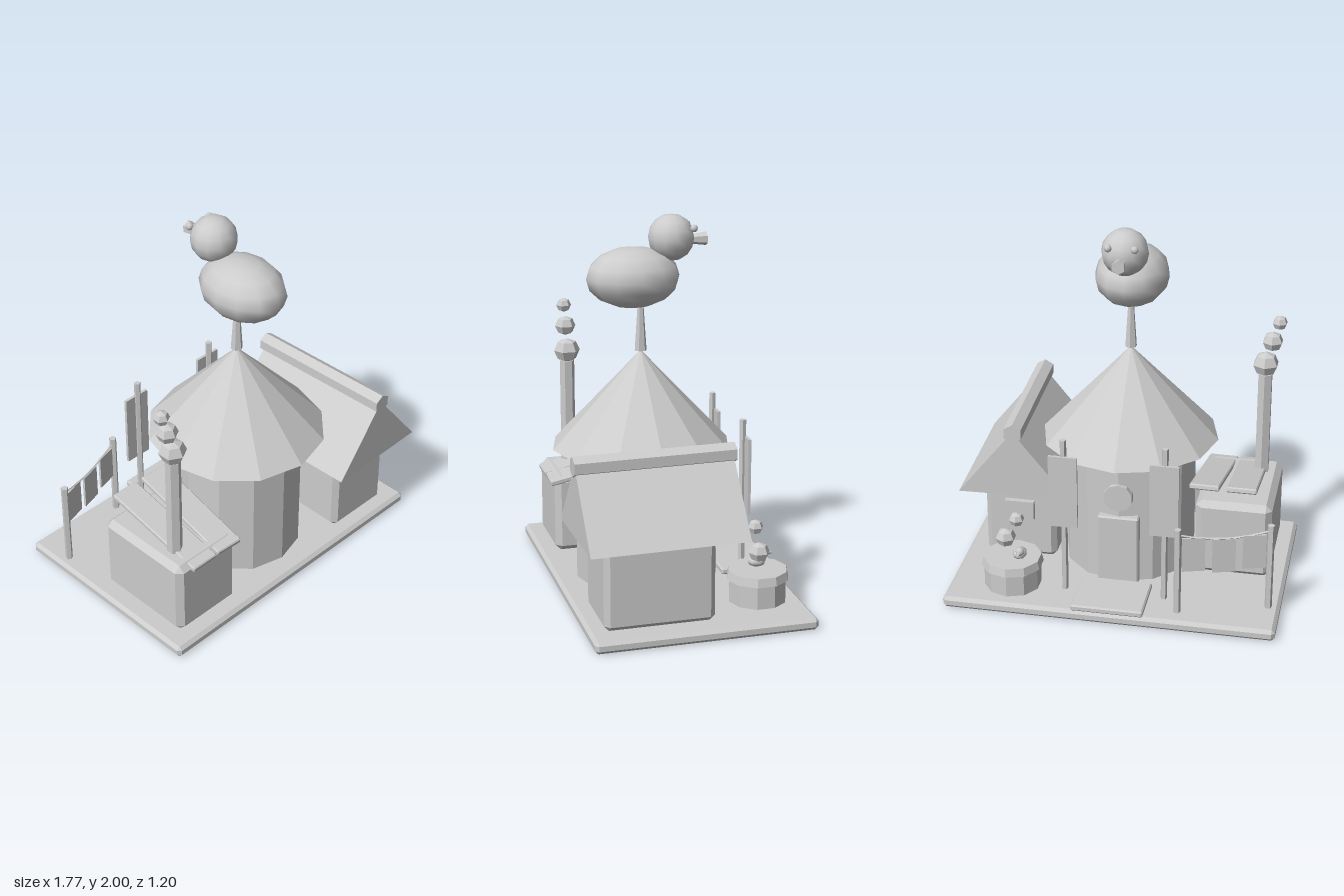
import * as THREE from 'three';
import { ConvexGeometry } from 'three/addons/geometries/ConvexGeometry.js';

export function createModel() {
  const root = new THREE.Group();
  const clay = new THREE.MeshStandardMaterial({ color: 0xcccccc });
  clay.name = 'plain grey';

  // Adds a mesh; faceted parts get flat normals
  function add(name, geometry, pos, rot = [0, 0, 0], parent = root, smooth = false) {
    let g = geometry;
    if (!smooth) {
      if (g.index) g = g.toNonIndexed();
      g.computeVertexNormals();
    }
    const mesh = new THREE.Mesh(g, clay);
    mesh.name = name;
    mesh.position.set(...pos);
    mesh.rotation.set(...rot);
    parent.add(mesh);
    return mesh;
  }
  function group(name, pos = [0, 0, 0], ry = 0) {
    const g = new THREE.Group();
    g.name = name;
    g.position.set(...pos);
    g.rotation.y = ry;
    root.add(g);
    return g;
  }
  const box = (w, h, d) => new THREE.BoxGeometry(w, h, d);
  const cyl = (top, bottom, h, n) => new THREE.CylinderGeometry(top, bottom, h, n);
  const ball = (r, w, h) => new THREE.SphereGeometry(r, w, h);

  // Box with every edge chamfered
  function chamferBox(w, h, d, c) {
    const pts = [];
    const s = [-1, 1];
    for (const x of s) for (const y of s) for (const z of s) {
      const X = w / 2, Y = h / 2, Z = d / 2;
      pts.push(new THREE.Vector3(x * X, y * (Y - c), z * (Z - c)));
      pts.push(new THREE.Vector3(x * (X - c), y * Y, z * (Z - c)));
      pts.push(new THREE.Vector3(x * (X - c), y * (Y - c), z * Z));
    }
    return new ConvexGeometry(pts);
  }

  // Ground slab and doorstep
  add('ground', chamferBox(1.766, 0.064, 1.163, 0.018), [-0.005, 0.032, -0.02]);
  add('doorstep', chamferBox(0.385, 0.035, 0.3, 0.008), [-0.006, 0.081, -0.452]);

  // Round tower with its cone roof, door and window
  const tower = group('tower', [-0.007, 0, 0.094]);
  add('towerWall', cyl(0.355, 0.355, 0.7, 12), [0, 0.4, 0], undefined, tower);
  add('towerBand', cyl(0.372, 0.372, 0.06, 12), [0, 0.76, 0], undefined, tower);
  add('towerRoof', cyl(0, 0.475, 0.51, 12), [0, 1.037, 0], undefined, tower);
  add('towerDoor', chamferBox(0.22, 0.4, 0.06, 0.008), [0, 0.26, -0.343], undefined, tower);
  add('roundWindow', cyl(0.078, 0.078, 0.05, 10), [0, 0.575, -0.347], [Math.PI / 2, 0, 0], tower);
  add('perchPole', cyl(0.014, 0.032, 0.27, 6), [0, 1.425, 0], undefined, tower);

  // Large bird on the perch, looking to the back
  const bird = group('bird', [-0.007, 0, 0]);
  const body = add('birdBody', ball(1, 12, 8), [0, 1.68, 0.134], undefined, bird, true);
  body.scale.set(0.195, 0.158, 0.249);
  add('birdHead', ball(0.122, 12, 8), [0, 1.878, -0.07], undefined, bird, true);
  add('birdBeak', cyl(0.022, 0.036, 0.1, 6), [0, 1.863, -0.208], [Math.PI / 2, 0, 0], bird);
  for (const s of [-1, 1])
    add('birdEye', ball(0.02, 8, 6), [s * 0.068, 1.93, -0.173], undefined, bird, true);

  // Gabled hut
  add('hutWall', chamferBox(0.39, 0.45, 0.575, 0.028), [0.57, 0.285, 0.198]);
  add('hutWindow', box(0.16, 0.11, 0.04), [0.57, 0.355, -0.1]);
  const roof = group('hutRoof', [0.577, 0, 0.18], 0.022);
  const gable = new THREE.Shape([
    new THREE.Vector2(-0.301, 0.51), new THREE.Vector2(0.301, 0.51), new THREE.Vector2(0, 0.885),
  ]);
  add('hutGable', new THREE.ExtrudeGeometry(gable, { depth: 0.82, bevelEnabled: false }),
    [0, 0, -0.41], undefined, roof);
  add('ridgeBeam', cyl(0.053, 0.053, 0.84, 6), [-0.004, 0.88, 0], [Math.PI / 2, 0, 0], roof);

  // Workshop with two sloping roof slabs and a smoking chimney
  add('workshopWall', chamferBox(0.41, 0.435, 0.57, 0.033), [-0.595, 0.277, 0.193]);
  add('roofSlab', chamferBox(0.16, 0.03, 0.62, 0.006), [-0.638, 0.528, 0.198], [0.21, 0, 0]);
  add('roofSlab', chamferBox(0.16, 0.03, 0.62, 0.006), [-0.452, 0.528, 0.198], [0.21, -0.045, 0]);
  add('chimney', cyl(0.041, 0.041, 0.78, 6), [-0.695, 0.69, 0.336]);
  const puffs = [
    ['chimneySmoke', -0.695, 1.137, 0.336, 0.073], ['chimneySmoke', -0.728, 1.27, 0.336, 0.058],
    ['chimneySmoke', -0.762, 1.38, 0.336, 0.042],
    ['tubSteam', 0.58, 0.335, -0.374, 0.056], ['tubSteam', 0.518, 0.45, -0.374, 0.042],
  ];
  for (const [name, x, y, z, r] of puffs) {
    const puff = add(name, ball(r, 6, 4), [x, y, z], [0, Math.PI / 6, 0]);
    puff.scale.y = 0.93;
  }

  // Tub with a small bird
  const tub = group('tub', [0.545, 0, -0.379]);
  add('tubWall', cyl(0.152, 0.152, 0.14, 10), [0, 0.125, 0], undefined, tub);
  add('tubRim', cyl(0.156, 0.166, 0.045, 10), [0, 0.21, 0], undefined, tub);
  const chick = add('chickBody', ball(1, 8, 6), [-0.043, 0.255, -0.01], undefined, tub, true);
  chick.scale.set(0.038, 0.028, 0.05);
  add('chickHead', ball(0.024, 8, 6), [-0.056, 0.29, -0.055], undefined, tub, true);
  add('chickBeak', cyl(0.004, 0.011, 0.025, 5), [-0.056, 0.288, -0.085], [-Math.PI / 2, 0, 0], tub);

  // Banners either side of the door
  for (const x of [-0.275, 0.258]) {
    add('bannerPole', cyl(0.018, 0.018, 0.9, 5), [x, 0.5, -0.385]);
    add('banner', box(0.152, 0.41, 0.016), [x, 0.655, -0.4]);
  }

  // Washing line: two posts, a sagging cord and three cloths
  const a = new THREE.Vector3(-0.827, 0.525, -0.37);
  const b = new THREE.Vector3(-0.364, 0.525, -0.504);
  const mid = a.clone().lerp(b, 0.5).setY(0.46);
  for (const p of [a, b]) add('linePost', cyl(0.02, 0.02, 0.5, 5), [p.x, 0.307, p.z]);
  const cord = new THREE.QuadraticBezierCurve3(a, mid, b);
  add('washingCord', new THREE.TubeGeometry(cord, 8, 0.006, 4), [0, 0, 0]);
  const turn = -Math.atan2(b.z - a.z, b.x - a.x);
  for (const t of [0.17, 0.5, 0.83]) {
    const p = cord.getPoint(t);
    add('cloth', box(0.12, 0.195, 0.012), [p.x, p.y - 0.1, p.z], [0, turn, 0]);
  }
  return root;
}
